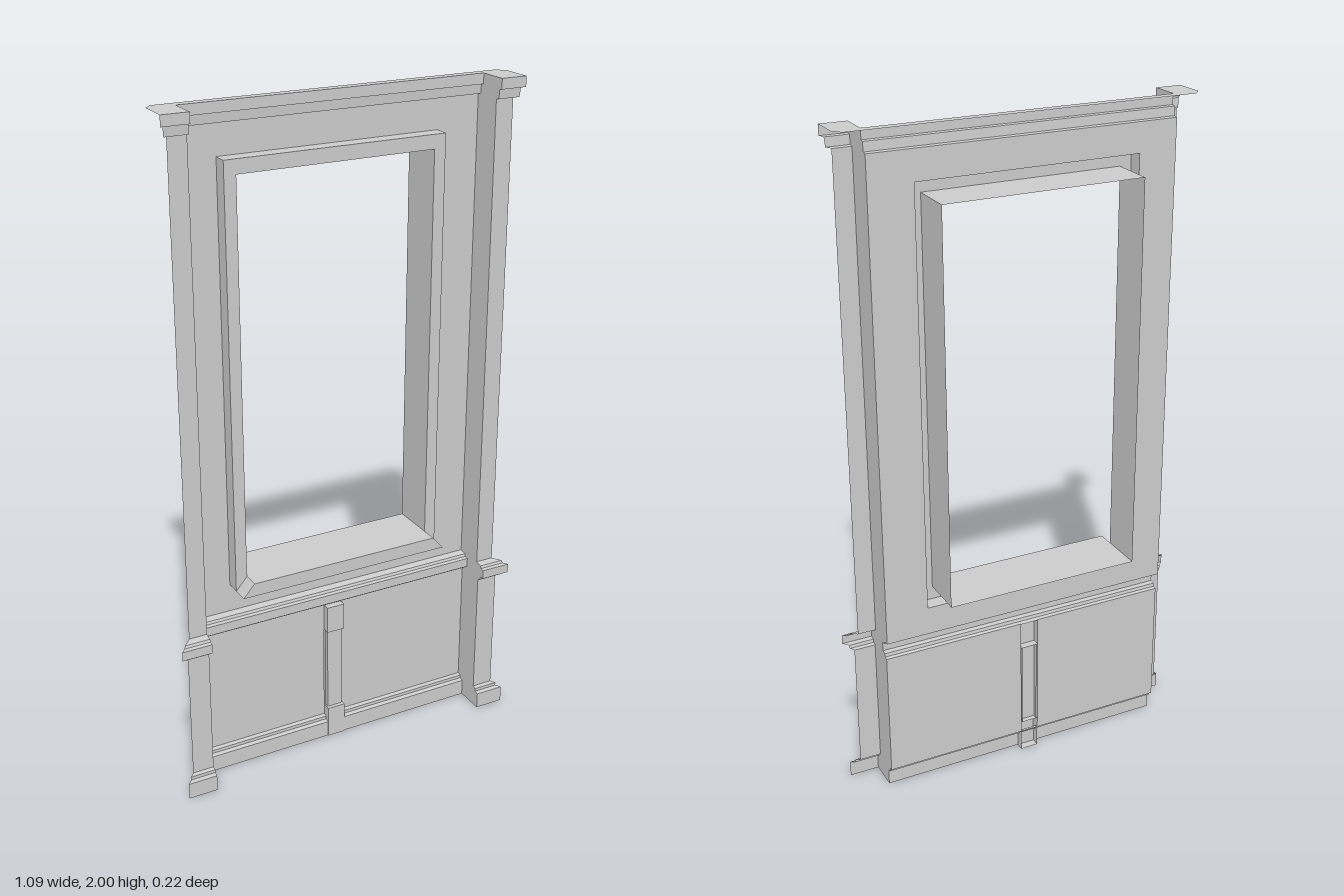
import * as THREE from 'three';

const material = new THREE.MeshStandardMaterial({ color: 0xcccccc, side: THREE.DoubleSide, flatShading: true });

// Moulding profile as [height, projection]
const profile = [
  [0, 0.035], [0.05, 0.035], [0.053, 0.022], [0.063, 0.022], [0.066, 0.01],
  [0.457, 0.01], [0.46, 0.02], [0.47, 0.022], [0.472, 0.037], [0.5, 0.037], [0.502, 0.025], [0.51, 0.022], [0.514, 0],
  [1.94, 0], [1.942, 0.012], [1.968, 0.014], [1.97, 0.024], [2, 0.024],
];
const WALL = -0.02, PIER = 0.07, INNER = 0.455, OUTER = 0.51;

// Sheet of quads between two matching polylines (a on the left, b on the right)
function ribbon(a, b) {
  const v = [];
  for (let i = 0; i < a.length - 1; i++) {
    v.push(...a[i], ...b[i], ...b[i + 1], ...a[i], ...b[i + 1], ...a[i + 1]);
  }
  const g = new THREE.BufferGeometry();
  g.setAttribute('position', new THREE.Float32BufferAttribute(v, 3));
  g.computeVertexNormals();
  return g;
}

// The profile placed at one x and depth; spread makes the mitred outer end
const column = (x, z, rows = profile, spread = 0) => rows.map(([y, o]) => [x + spread * o, y, z + o]);

// Rectangle path, counter-clockwise from the front
const rect = ([x0, y0, x1, y1]) => [[x0, y0], [x1, y0], [x1, y1], [x0, y1]];
const toPath = (pts, Type = THREE.Shape) => new Type(pts.map(([x, y]) => new THREE.Vector2(x, y)));

function sheet(outline, hole) {
  const s = toPath(outline);
  if (hole) s.holes.push(toPath(hole, THREE.Path));
  return new THREE.ShapeGeometry(s);
}

// Open rectangular tube between two depths
function tube(r, z0, z1) {
  const loop = [...rect(r), rect(r)[0]];
  return ribbon(loop.map(([x, y]) => [x, y, z1]), loop.map(([x, y]) => [x, y, z0]));
}

export function createModel() {
  const model = new THREE.Group();
  const add = (name, geometry, z = 0) => {
    const mesh = new THREE.Mesh(geometry, material);
    mesh.name = name;
    mesh.position.z = z;
    model.add(mesh);
    return mesh;
  };

  // Side pilasters: front face with mitred end, and inner return to the wall
  add('rightPilasterFront', ribbon(column(-OUTER, PIER, profile, -1), column(-INNER, PIER)));
  add('rightPilasterReturn', ribbon(column(-INNER, PIER), column(-INNER, WALL)));
  add('leftPilasterReturn', ribbon(column(INNER, WALL), column(INNER, PIER)));
  add('leftPilasterFront', ribbon(column(INNER, PIER), column(OUTER, PIER, profile, 1)));

  // Horizontal mouldings across the wall
  const wallStrip = (name, from, to, x0 = -INNER, x1 = INNER) => {
    const rows = profile.slice(from, to + 1);
    add(name, ribbon(column(x0, WALL, rows), column(x1, WALL, rows)));
  };
  wallStrip('baseMoulding', 0, 4);
  wallStrip('middleMoulding', 5, 12);
  wallStrip('cornice', 13, 17);

  // Lower panels on each side of the centre stile
  const S0 = -0.038, S1 = 0.018;
  wallStrip('lowerPanelRight', 4, 5, -INNER, S0);
  wallStrip('lowerPanelLeft', 4, 5, S1, INNER);

  // Centre stile with its end blocks, open at the back
  const channel = (name, x0, x1, y0, y1, z) => {
    const back = WALL + 0.01;
    const section = [[x0, back], [x0, z], [x1, z], [x1, back]];
    const at = (y) => section.map(([x, d]) => [x, y, d]);
    add(name, ribbon(at(y1), at(y0)));
    for (const y of [y0, y1]) {
      add(name + 'End', ribbon([[x0, y, back], [x0, y, z]], [[x1, y, back], [x1, y, z]]));
    }
  };
  channel('centreStile', S0 + 0.004, S1 - 0.004, 0.1, 0.37, 0.006);
  channel('stileTopBlock', S0, S1, 0.37, 0.455, 0.014);
  channel('stileBottomBlock', S0, S1, 0, 0.1, 0.018);

  // Upper wall with the window opening
  const frameOuter = [-0.34, 0.6, 0.325, 1.853], frameInner = [-0.305, 0.64, 0.29, 1.812];
  const TRIM = 0.025, SILL = 0.075;
  add('upperWall', sheet(rect([-INNER, 0.514, INNER, 1.94]), rect(frameOuter)), WALL);

  // Window trim and deep reveal
  add('windowTrimFront', sheet(rect(frameOuter), rect(frameInner)), TRIM);
  add('windowTrimSides', tube(frameOuter, WALL, TRIM));
  add('windowReveal', tube(frameInner, -0.11, TRIM));

  // Projecting sill with mitred ends
  const sill = toPath([
    [frameOuter[0], frameOuter[1]], [frameOuter[2], frameOuter[1]],
    [frameInner[2], frameInner[1]], [frameInner[0], frameInner[1]],
  ]);
  add('windowSill', new THREE.ExtrudeGeometry(sill, { depth: SILL - TRIM, bevelEnabled: false }), TRIM);

  // Flat top of the cornice, drawn in x and -z
  const half = [[INNER, -0.004], [INNER, -0.094], [0.534, -0.094], [0.534, -0.002], [0.512, 0.024]];
  const mirrored = half.map(([x, y]) => [-x, y]).reverse();
  add('corniceTop', sheet([...half, ...mirrored]).rotateX(-Math.PI / 2).translate(0, 2, 0));

  return model;
}
